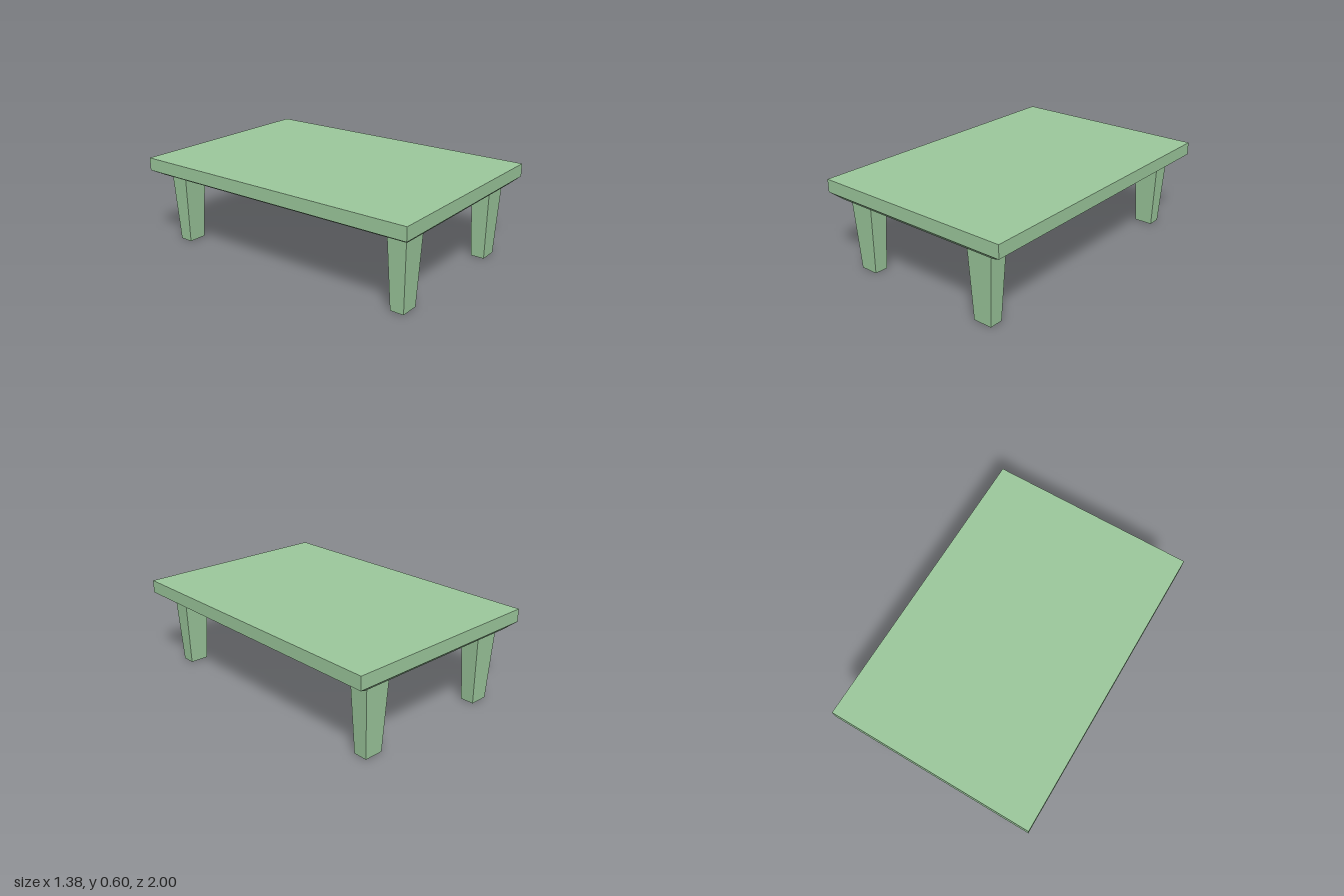
import * as THREE from 'three';

// Box between y0 and y1 whose bottom face has its own width and depth
function taperedBox(y0, y1, topW, topD, botW, botD) {
  const geo = new THREE.BoxGeometry(topW, y1 - y0, topD);
  geo.translate(0, (y0 + y1) / 2, 0);
  const p = geo.attributes.position;
  const mid = (y0 + y1) / 2;
  for (let i = 0; i < p.count; i++) {
    if (p.getY(i) < mid) {
      p.setX(i, Math.sign(p.getX(i)) * botW / 2);
      p.setZ(i, Math.sign(p.getZ(i)) * botD / 2);
    }
  }
  geo.computeVertexNormals();
  return geo;
}

export function createModel() {
  const model = new THREE.Group();
  model.name = 'lowTable';
  const green = new THREE.MeshStandardMaterial({ color: 0x9cc89c, flatShading: true });

  const width = 1.376, depth = 2;
  const topY = 0.597, edgeY = 0.512, underY = 0.469;

  const add = (name, geo, parent) => {
    const mesh = new THREE.Mesh(geo, green);
    mesh.name = name;
    parent.add(mesh);
    return mesh;
  };

  // Table top: straight-edged slab over a bevelled underside
  const tableTop = new THREE.Group();
  tableTop.name = 'tableTop';
  add('slab', taperedBox(edgeY, topY, width, depth, width, depth), tableTop);
  add('bevelledUnderside', taperedBox(underY, edgeY, width, depth, 1.216, 1.906), tableTop);
  model.add(tableTop);

  // Four legs, narrowing towards the floor
  const legGeo = taperedBox(0, underY, 0.174, 0.125, 0.125, 0.09);
  for (const [end, sz] of [['front', 1], ['back', -1]]) {
    for (const [side, sx] of [['Left', 1], ['Right', -1]]) {
      add(`${end}${side}Leg`, legGeo, model).position.set(sx * 0.481, 0, sz * 0.863);
    }
  }
  return model;
}
